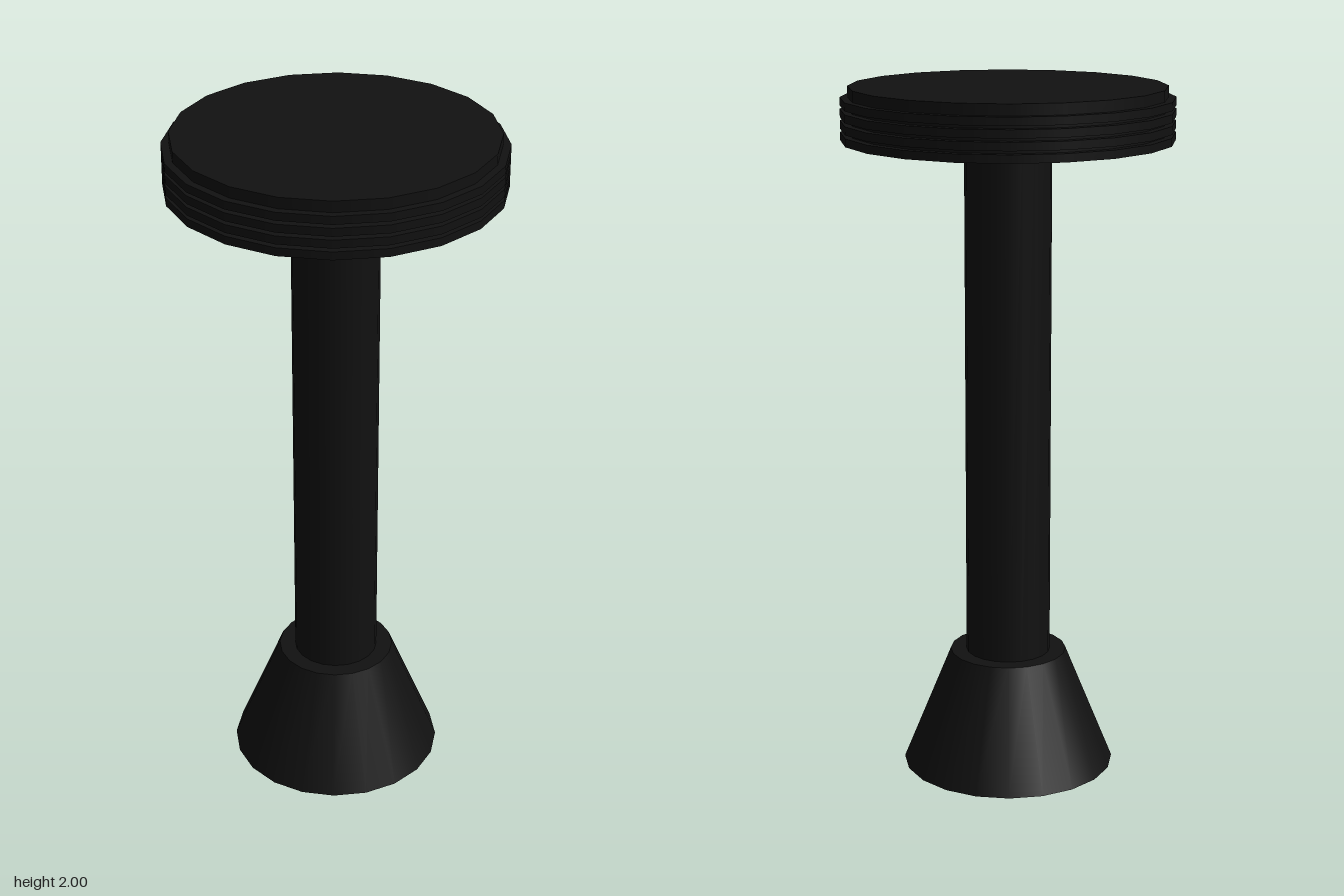
import * as THREE from 'three';

const SIDES = 20;

export function createModel() {
  const model = new THREE.Group();
  model.name = 'barStool';
  const black = new THREE.MeshStandardMaterial({ color: 0x111111 });

  // Upright round part between two heights
  function addRound(parent, name, rTop, rBottom, y0, y1) {
    const mesh = new THREE.Mesh(new THREE.CylinderGeometry(rTop, rBottom, y1 - y0, SIDES), black);
    mesh.name = name;
    mesh.position.y = (y0 + y1) / 2;
    parent.add(mesh);
  }

  // Flared foot and post
  addRound(model, 'base', 0.17, 0.31, 0, 0.345);
  addRound(model, 'post', 0.123, 0.123, 0.345, 1.85);

  // Seat: core disc with four raised bands around the rim
  const seat = new THREE.Group();
  seat.name = 'seat';
  addRound(seat, 'seatCore', 0.445, 0.445, 1.85, 2);
  const bandHeight = 0.023, pitch = 0.0323;
  for (let i = 0; i < 4; i++) {
    const y = 1.849 + i * pitch;
    addRound(seat, 'rimBand' + (i + 1), 0.467, 0.467, y, y + bandHeight);
  }
  model.add(seat);

  return model;
}
